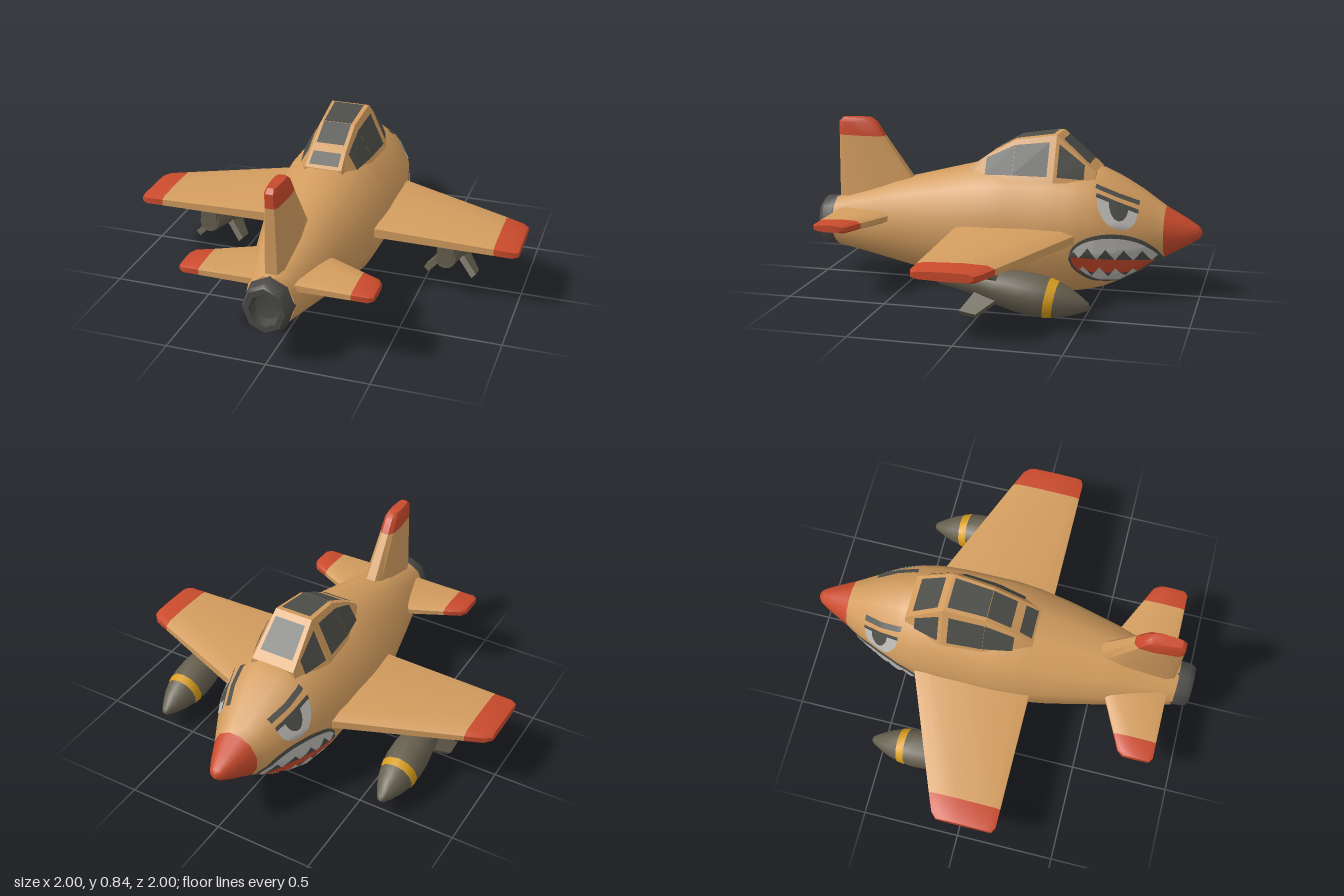
import * as THREE from 'three';
import { toCreasedNormals } from 'three/addons/utils/BufferGeometryUtils.js';

const mat = (name, color, side = THREE.FrontSide) => {
  const m = new THREE.MeshStandardMaterial({ color, side });
  m.name = name;
  return m;
};
const tan = mat('tan paint', 0xd29c5e);
const red = mat('red paint', 0xc94a2c, THREE.DoubleSide);
const dark = mat('dark glass', 0x4d4e49, THREE.DoubleSide);
const light = mat('pale grey', 0xbab8b3, THREE.DoubleSide);
const metal = mat('nozzle metal', 0x4a4947);
const olive = mat('olive grey', 0x655e4e);
const yellow = mat('yellow band', 0xd69c1c);

const V = (x, y, z) => new THREE.Vector3(x, y, z);
const lerp = THREE.MathUtils.lerp;

function fromPoints(points, index) {
  const g = new THREE.BufferGeometry().setFromPoints(points);
  g.setIndex(index);
  return g;
}

// Closed skin through rings of equal point count, turned outward by its signed volume
function loft(rings, crease = 0.65) {
  const n = rings[0].length, pts = rings.flat(), idx = [];
  for (let r = 0; r < rings.length - 1; r++)
    for (let i = 0; i < n; i++) {
      const a = r * n + i, b = r * n + (i + 1) % n;
      idx.push(a, b, b + n, a, b + n, a + n);
    }
  [0, rings.length - 1].forEach((r, end) => {
    const c = pts.length;
    pts.push(rings[r].reduce((s, p) => s.add(p), V(0, 0, 0)).divideScalar(n));
    for (let i = 0; i < n; i++) {
      const a = r * n + i, b = r * n + (i + 1) % n;
      idx.push(c, end ? a : b, end ? b : a);
    }
  });
  let vol = 0;
  for (let i = 0; i < idx.length; i += 3)
    vol += pts[idx[i]].dot(V(0, 0, 0).crossVectors(pts[idx[i + 1]], pts[idx[i + 2]]));
  if (vol < 0) idx.reverse();
  return toCreasedNormals(fromPoints(pts, idx), crease);
}

// Fuselage stations: z, top, bottom, half width
const STATIONS = [
  [-1, 0.342, 0.318, 0.012], [-0.985, 0.362, 0.3, 0.035], [-0.93, 0.395, 0.265, 0.066], [-0.82, 0.452, 0.205, 0.118],
  [-0.7, 0.53, 0.125, 0.182], [-0.6, 0.585, 0.075, 0.23], [-0.5, 0.628, 0.035, 0.268],
  [-0.4, 0.645, 0.012, 0.288], [-0.28, 0.65, 0, 0.297], [0, 0.65, 0, 0.298], [0.12, 0.635, 0.004, 0.29],
  [0.3, 0.59, 0.04, 0.262], [0.58, 0.52, 0.095, 0.2], [0.75, 0.465, 0.13, 0.158], [0.92, 0.415, 0.16, 0.115],
];
function section(z) {
  let i = 0;
  while (i < STATIONS.length - 2 && z > STATIONS[i + 1][0]) i++;
  const a = STATIONS[i], b = STATIONS[i + 1], t = (z - a[0]) / (b[0] - a[0]);
  const top = lerp(a[1], b[1], t), bottom = lerp(a[2], b[2], t);
  return { cy: (top + bottom) / 2, ry: (top - bottom) / 2, rx: lerp(a[3], b[3], t), bottom };
}
const FLAT = Math.cos(Math.PI / 12);
const hullRing = (z) => {
  const s = section(z);
  return Array.from({ length: 12 }, (_, i) => {
    const a = (i + 0.5) * Math.PI / 6;
    return V(s.rx * Math.cos(a) / FLAT, s.cy + s.ry * Math.sin(a) / FLAT, z);
  });
};
const hull = (z0, z1, n) => loft(Array.from({ length: n + 1 }, (_, i) => hullRing(lerp(z0, z1, i / n))));

// Point on the twelve-sided skin at height y, lifted outward
function onHull(z, y, lift, side) {
  const s = section(z), v = THREE.MathUtils.clamp((y - s.cy) / s.ry, -0.98, 0.98);
  const k = Math.min(4, Math.max(0, Math.floor(Math.asin(v * FLAT) / (Math.PI / 6) + 2.5)));
  const a = (k - 2.5) * Math.PI / 6, b = a + Math.PI / 6;
  const t = (v * FLAT - Math.sin(a)) / (Math.sin(b) - Math.sin(a));
  const u = lerp(Math.cos(a), Math.cos(b), t) / FLAT;
  const nx = u / s.rx, ny = v / s.ry, l = Math.hypot(nx, ny);
  return V(side * (u * s.rx + lift * nx / l), s.cy + v * s.ry + lift * ny / l, z);
}

// Painted patch between two height curves
function patch(z0, z1, low, high, lift, side, nz = 32, ny = 10) {
  const pts = [], idx = [];
  for (let i = 0; i <= nz; i++) {
    const t = i / nz, z = lerp(z0, z1, t), lo = low(t), hi = Math.max(lo, high(t));
    for (let j = 0; j <= ny; j++) pts.push(onHull(z, lerp(lo, hi, j / ny), lift, side));
  }
  for (let i = 0; i < nz; i++)
    for (let j = 0; j < ny; j++) {
      const a = i * (ny + 1) + j, b = a + ny + 1;
      if (side > 0) idx.push(a, a + 1, b, b, a + 1, b + 1);
      else idx.push(a, b, a + 1, b, b + 1, a + 1);
    }
  const g = fromPoints(pts, idx);
  g.computeVertexNormals();
  return g;
}

// Rounded slab rings; stations: span, leading z, trailing z, middle, half thickness
const SLAB = [[0, 0.45], [0.1, 0.9], [0.4, 1], [0.9, 0.8], [1, 0.5], [1, -0.5], [0.9, -0.8], [0.4, -1], [0.1, -0.9], [0, -0.45]];
const slab = (stations, place) => loft(stations.map(([s, zl, zt, mid, h]) =>
  SLAB.map(([u, v]) => place(s, mid + v * h, lerp(zl, zt, u)))));

const lathe = (profile, sides) => toCreasedNormals(
  new THREE.LatheGeometry(profile.map(([r, y]) => new THREE.Vector2(r, y)), sides).rotateX(Math.PI / 2), 0.85);

export function createModel() {
  const root = new THREE.Group();
  root.name = 'aeroplane';
  const add = (name, geo, material, parent = root) => {
    const m = new THREE.Mesh(geo, material);
    m.name = name;
    parent.add(m);
    return m;
  };

  // Body, nose and exhaust
  add('fuselage', hull(-0.82, 0.92, 44), tan);
  add('noseCone', hull(-1, -0.82, 12), red);
  const nozzle = add('exhaustNozzle', lathe([[0.1, 0.88], [0.125, 0.9], [0.128, 0.93], [0.122, 0.98], [0.108, 1],
    [0.08, 1], [0.068, 0.95], [0, 0.935]], 8), metal);
  nozzle.scale.set(0.95, 1.06, 1);
  nozzle.position.y = 0.285;

  // Tail fin
  const upright = (s, t, z) => V(t, s, z);
  add('tailFin', slab([[0.38, 0.4, 0.9, 0, 0.062], [0.53, 0.5, 0.9, 0, 0.055], [0.75, 0.655, 0.9, 0, 0.042]], upright), tan);
  add('tailFinTip', slab([[0.75, 0.655, 0.9, 0, 0.042], [0.82, 0.7, 0.9, 0, 0.038], [0.842, 0.73, 0.88, 0, 0.028]], upright), red);

  // Canopy frame; stations: z, base half width, top half width, top height
  const frame = [[0.17, 0.11, 0.095, 0.625], [0.08, 0.15, 0.09, 0.69], [-0.07, 0.185, 0.09, 0.775],
    [-0.28, 0.2, 0.1, 0.808], [-0.48, 0.13, 0.115, 0.63]];
  const BASE = 0.585;
  add('canopyFrame', loft(frame.map(([z, wb, wt, yt]) =>
    [V(wb, BASE, z), V(wt, yt, z), V(-wt, yt, z), V(-wb, BASE, z)]), 0.2), tan);

  // Glass pane cut from a quad (a-b along u, a-d along v), lifted off its face
  const pane = (name, a, b, c, d, u0, u1, v0, v1) => {
    const at = (u, v) => a.clone().lerp(b, u).lerp(d.clone().lerp(c, u), v);
    const p = [at(u0, v0), at(u1, v0), at(u1, v1), at(u0, v1)];
    const n = c.clone().sub(a).cross(d.clone().sub(b)).normalize();
    const out = V((a.x + b.x + c.x + d.x) / 4, 0.15, 0);
    const flip = n.dot(out) < 0;
    p.forEach((q) => q.addScaledVector(n, flip ? -0.007 : 0.007));
    const g = fromPoints(p, flip ? [0, 2, 1, 0, 3, 2] : [0, 1, 2, 0, 2, 3]).toNonIndexed();
    g.computeVertexNormals();
    add(name, g, dark);
  };
  const roofSpan = [[0.15, 0.85], [0.2, 1], [0, 0.92], [0.14, 0.8]];
  const sideSpan = [null, [0.02, 1], [0, 0.85], [0.08, 0.72]];
  for (let i = 0; i < 4; i++) {
    const [z0, b0, t0, y0] = frame[i], [z1, b1, t1, y1] = frame[i + 1];
    pane('roofGlass', V(-t0, y0, z0), V(-t1, y1, z1), V(t1, y1, z1), V(t0, y0, z0), ...roofSpan[i], 0.1, 0.9);
    if (sideSpan[i]) for (const s of [1, -1])
      pane('sideGlass', V(s * b0, BASE, z0), V(s * b1, BASE, z1), V(s * t1, y1, z1), V(s * t0, y0, z0), ...sideSpan[i], 0.12, 0.86);
  }

  for (const side of [1, -1]) {
    const label = side > 0 ? 'left' : 'right';
    const flat = (s, t, z) => V(side * s, t, z);

    // Main wing and tailplane with red tips
    add(label + 'Wing', slab([[0.15, -0.46, 0.2, 0.328, 0.05], [0.88, -0.167, 0.2, 0.318, 0.033]], flat), tan);
    add(label + 'WingTip', slab([[0.88, -0.167, 0.2, 0.318, 0.033], [0.97, -0.13, 0.2, 0.316, 0.031],
      [1, -0.1, 0.185, 0.316, 0.022]], flat), red);
    add(label + 'Tailplane', slab([[0.05, 0.51, 0.88, 0.355, 0.032], [0.37, 0.663, 0.88, 0.355, 0.026]], flat), tan);
    add(label + 'TailplaneTip', slab([[0.37, 0.663, 0.88, 0.355, 0.026], [0.45, 0.7, 0.88, 0.355, 0.025],
      [0.472, 0.73, 0.865, 0.355, 0.018]], flat), red);

    // Mouth: dark oval, toothed jaws and a red gum between them
    const Z0 = -0.82, Z1 = -0.38;
    const arc = (t) => Math.sqrt(Math.max(0, 1 - (2 * t - 1) ** 2));
    const zAt = (t) => lerp(Z0, Z1, t);
    const mid = (t) => lerp(0.195, 0.235, t);
    const top = (k) => (t) => mid(t) + 0.14 * arc(t) * k;
    const under = (k) => (t) => Math.max(mid(t) - 0.135 * arc(t) * k, section(zAt(t)).bottom + 0.006 + 0.012 * (1 - k) * 8);
    const tooth = (t, n) => Math.abs(((t * n) % 1) * 2 - 1);
    add(label + 'MouthOutline', patch(Z0, Z1, under(1), top(1), 0.004, side, 40, 14), dark);
    add(label + 'Gum', patch(Z0 + 0.012, Z1 - 0.012, (t) => Math.max(under(0.85)(t), mid(t) - 0.065),
      (t) => Math.min(top(0.85)(t), mid(t) + 0.012), 0.0065, side, 40), red);
    add(label + 'UpperTeeth', patch(Z0 + 0.01, Z1 - 0.01, (t) => Math.min(top(0.86)(t), mid(t) + 0.01 + 0.055 * tooth(t, 5)),
      top(0.86), 0.009, side, 40), light);
    add(label + 'LowerTeeth', patch(Z0 + 0.03, Z1 - 0.03, under(0.86),
      (t) => mid(t) - 0.085 + 0.05 * tooth(t + 0.1, 5), 0.009, side, 40), light);

    // Angry eye under a slanted brow
    const lid = (t) => lerp(0.455, 0.54, t);
    add(label + 'Brow', patch(-0.7, -0.49, (t) => lid(t) + 0.026, (t) => lid(t) + 0.042, 0.005, side, 12, 3), dark);
    add(label + 'EyeWhite', patch(-0.7, -0.5, (t) => lid(t) - 0.115 * arc(t), lid, 0.005, side, 20), light);
    add(label + 'EyeLid', patch(-0.7, -0.5, (t) => lid(t) - 0.012, (t) => lid(t) + 0.006, 0.0075, side, 12, 3), dark);
    add(label + 'Pupil', patch(-0.655, -0.56, (t) => lid(lerp(0.225, 0.7, t)) - 0.075 * arc(t),
      (t) => lid(lerp(0.225, 0.7, t)), 0.009, side, 16), dark);

    // Bomb slung nose-down below the wing
    const bomb = new THREE.Group();
    bomb.name = label + 'Bomb';
    bomb.position.set(side * 0.635, 0.107, -0.555);
    bomb.rotation.x = -0.16;
    root.add(bomb);
    add('bombNose', lathe([[0, 0], [0.02, 0.012], [0.047, 0.06], [0.07, 0.11], [0.087, 0.165]], 12), olive, bomb);
    add('bombBand', lathe([[0.089, 0.163], [0.097, 0.206]], 12), yellow, bomb);
    add('bombBody', lathe([[0.095, 0.204], [0.1, 0.25], [0.099, 0.33], [0.085, 0.45], [0.062, 0.56], [0.052, 0.72], [0, 0.725]], 12), olive, bomb);
    for (let k = 0; k < 4; k++) {
      const ring = (r, z, w) => [[-0.016, z], [0.016, z], [0.016, z + w], [-0.016, z + w]].map(([x, zz]) => V(x, r, zz));
      const fin = add('bombFin', loft([ring(0.04, 0.4, 0.13), ring(k === 0 || k === 3 ? 0.14 : 0.175, 0.5, 0.08)]), olive, bomb);
      fin.rotation.z = Math.PI / 4 + k * Math.PI / 2 - Math.PI / 2 * (k === 3 ? 4 : 0);
    }
    const pylon = add(label + 'Pylon', new THREE.BoxGeometry(0.085, 0.11, 0.25), olive);
    pylon.position.set(side * 0.635, 0.245, 0.04);
  }
  return root;
}
